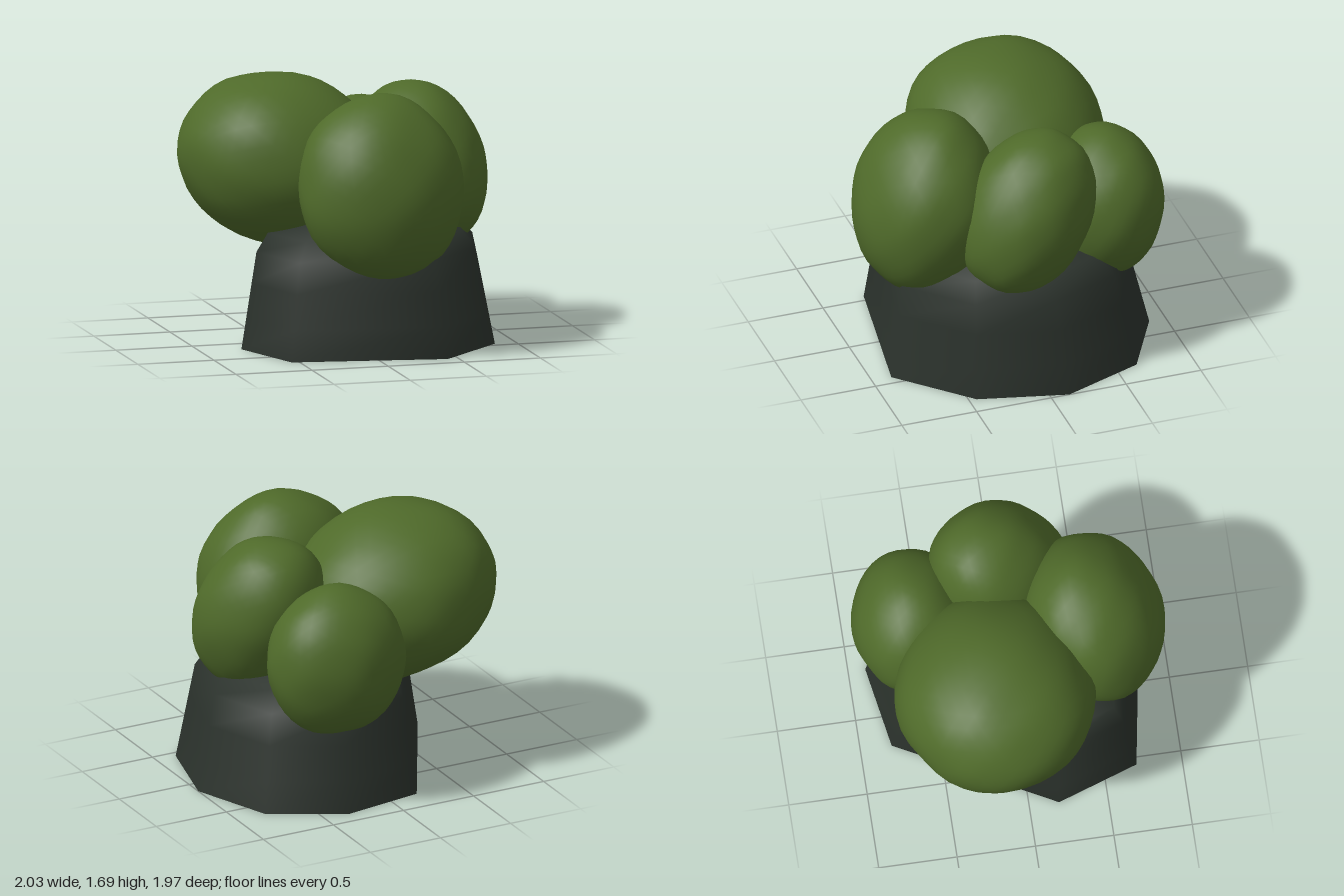
import * as THREE from 'three';
import { mergeVertices } from 'three/addons/utils/BufferGeometryUtils.js';

// Smooth, slightly lumpy ball of leaves with unit radius
function lumpyBall(seed) {
  let g = new THREE.IcosahedronGeometry(1, 7);
  g.deleteAttribute('uv');
  g.deleteAttribute('normal');
  g = mergeVertices(g, 1e-4);
  const p = g.attributes.position, v = new THREE.Vector3();
  for (let i = 0; i < p.count; i++) {
    v.fromBufferAttribute(p, i).normalize();
    const n = Math.sin(5.1 * v.x + seed) * Math.sin(4.7 * v.y + 2 * seed)
      + Math.sin(5.3 * v.z + 3 * seed) * Math.sin(4.9 * v.x - seed)
      + 0.6 * Math.sin(9 * v.y + seed) * Math.sin(9 * v.z - v.x * 6);
    v.multiplyScalar(1.005 + 0.011 * n);
    p.setXYZ(i, v.x, v.y, v.z);
  }
  g.computeVertexNormals();
  return g;
}

// Tapering shell over an uneven footprint: rings of [height, scale] about (cx, cz), open below
function taperedShell(outline, rings, cx, cz) {
  const n = outline.length, pos = [], idx = [];
  for (const [y, s] of rings) {
    for (const [x, z] of outline) pos.push(cx + (x - cx) * s, y, cz + (z - cz) * s);
  }
  for (let r = 0; r < rings.length - 1; r++) {
    for (let i = 0; i < n; i++) {
      const a = r * n + i, b = r * n + (i + 1) % n;
      idx.push(a, b, b + n, a, b + n, a + n);
    }
  }
  const g = new THREE.BufferGeometry();
  g.setAttribute('position', new THREE.Float32BufferAttribute(pos, 3));
  g.setIndex(idx);
  g.computeVertexNormals();
  return g;
}

export function createModel() {
  const group = new THREE.Group();
  const leaf = new THREE.MeshStandardMaterial({ color: 0x4f6a2a });
  leaf.name = 'olive green';
  const stone = new THREE.MeshStandardMaterial({ color: 0x2b322c, side: THREE.DoubleSide });
  stone.name = 'dark slate';

  // Base, counter-clockwise seen from above, with a low crown hidden in the leaves
  const outline = [
    [0.43, 0.87], [0.86, 0.45], [1.0, -0.12], [0.8, -0.64],
    [0.33, -0.89], [-0.2, -0.8], [-0.73, 0.19], [-0.55, 0.71],
  ];
  const rings = [[0, 1], [0.2, 0.956], [0.42, 0.908], [0.62, 0.864], [0.74, 0.76], [0.85, 0.4], [0.88, 0.02]];
  const base = new THREE.Mesh(taperedShell(outline, rings, 0, 0.18), stone);
  base.name = 'base';
  group.add(base);

  // Foliage: name, centre, radii, tilt about x and z
  const clumps = [
    ['rightFoliage', [-0.36, 1.14, -0.16], [0.67, 0.54, 0.63], 0, -0.28],
    ['frontFoliage', [0.09, 1.055, 0.53], [0.53, 0.59, 0.44], -0.25, 0.1],
    ['leftFoliage', [0.5, 1.09, -0.01], [0.41, 0.55, 0.41], -0.5, 0.15],
    ['backFoliage', [0.27, 0.94, -0.6], [0.45, 0.49, 0.38], -0.02, 0],
  ];
  clumps.forEach(([name, centre, radii, tiltX, tiltZ], i) => {
    const m = new THREE.Mesh(lumpyBall(1.3 + i * 2.1), leaf);
    m.name = name;
    m.position.set(...centre);
    m.scale.set(...radii);
    m.rotation.set(tiltX, 0, tiltZ);
    group.add(m);
  });
  return group;
}
